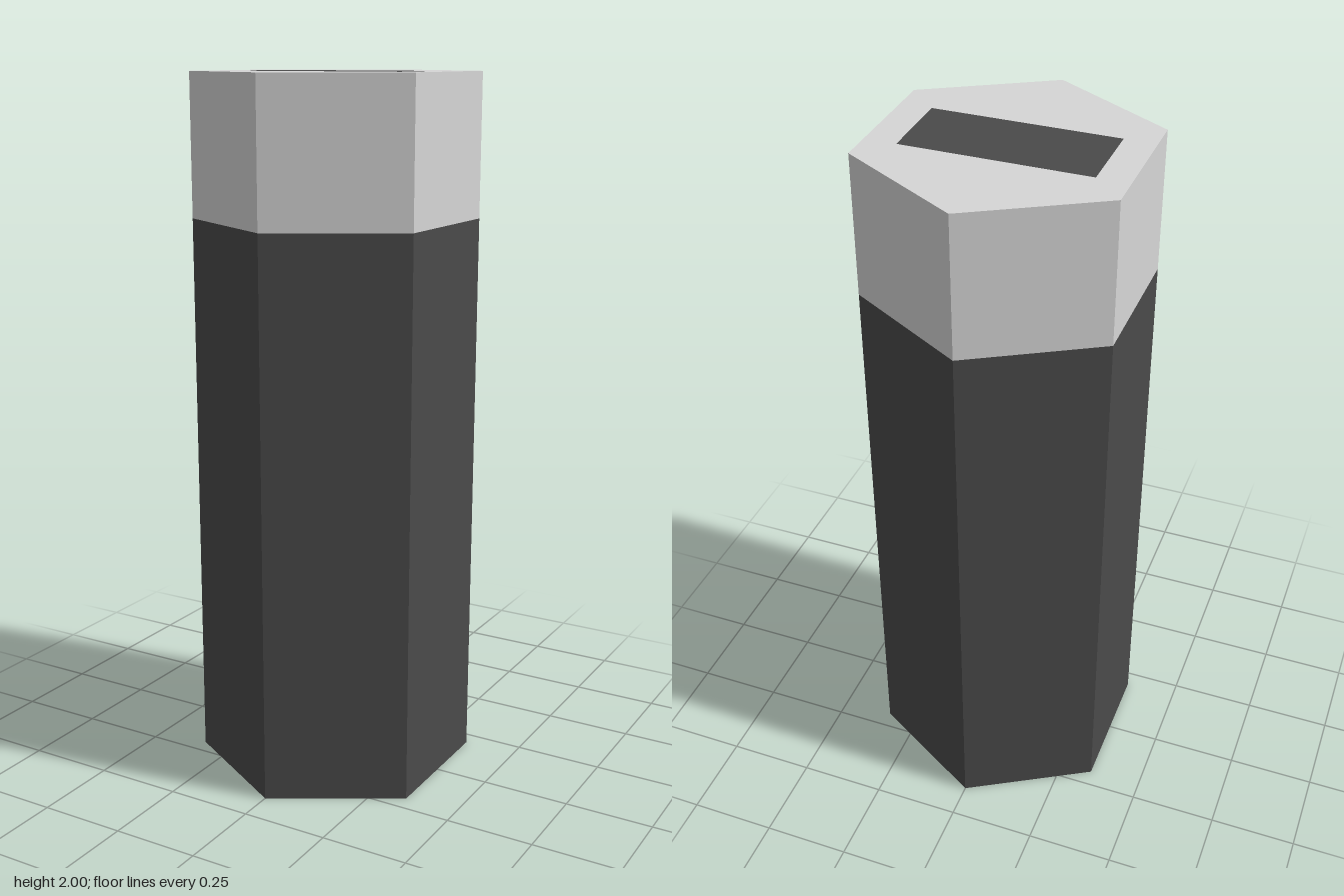
import * as THREE from 'three';

const RADIUS = 0.4, BODY_H = 1.6, CAP_H = 0.4;
const SLOT_W = 0.516, SLOT_D = 0.224;

export function createModel() {
  const group = new THREE.Group();
  group.name = 'hexagonalPost';

  const charcoal = new THREE.MeshStandardMaterial({ color: 0x4a4a4a, flatShading: true });
  charcoal.name = 'charcoal';
  const lightGrey = new THREE.MeshStandardMaterial({ color: 0xd6d6d6, flatShading: true });
  lightGrey.name = 'lightGrey';

  const add = (name, geometry, material, y) => {
    const mesh = new THREE.Mesh(geometry, material);
    mesh.name = name;
    mesh.position.y = y;
    group.add(mesh);
  };

  // Dark six-sided body, with a corner facing the front
  add('body', new THREE.CylinderGeometry(RADIUS, RADIUS, BODY_H, 6), charcoal, BODY_H / 2);

  // Light band around the top
  add('capSides', new THREE.CylinderGeometry(RADIUS, RADIUS, CAP_H, 6, 1, true),
    lightGrey, BODY_H + CAP_H / 2);

  // Hexagonal top face, cut out for the flush slot marking
  const hexagon = new THREE.Shape();
  for (let i = 0; i < 6; i++) {
    const a = Math.PI / 2 + i * Math.PI / 3;
    const x = RADIUS * Math.cos(a), y = RADIUS * Math.sin(a);
    if (i === 0) hexagon.moveTo(x, y);
    else hexagon.lineTo(x, y);
  }
  hexagon.closePath();
  const w = SLOT_W / 2, d = SLOT_D / 2;
  hexagon.holes.push(new THREE.Path([
    new THREE.Vector2(-w, -d), new THREE.Vector2(-w, d),
    new THREE.Vector2(w, d), new THREE.Vector2(w, -d),
  ]));
  add('capTop', new THREE.ShapeGeometry(hexagon).rotateX(-Math.PI / 2), lightGrey, BODY_H + CAP_H);

  // Dark rectangular slot marking
  add('slot', new THREE.PlaneGeometry(SLOT_W, SLOT_D).rotateX(-Math.PI / 2), charcoal, BODY_H + CAP_H);

  return group;
}
